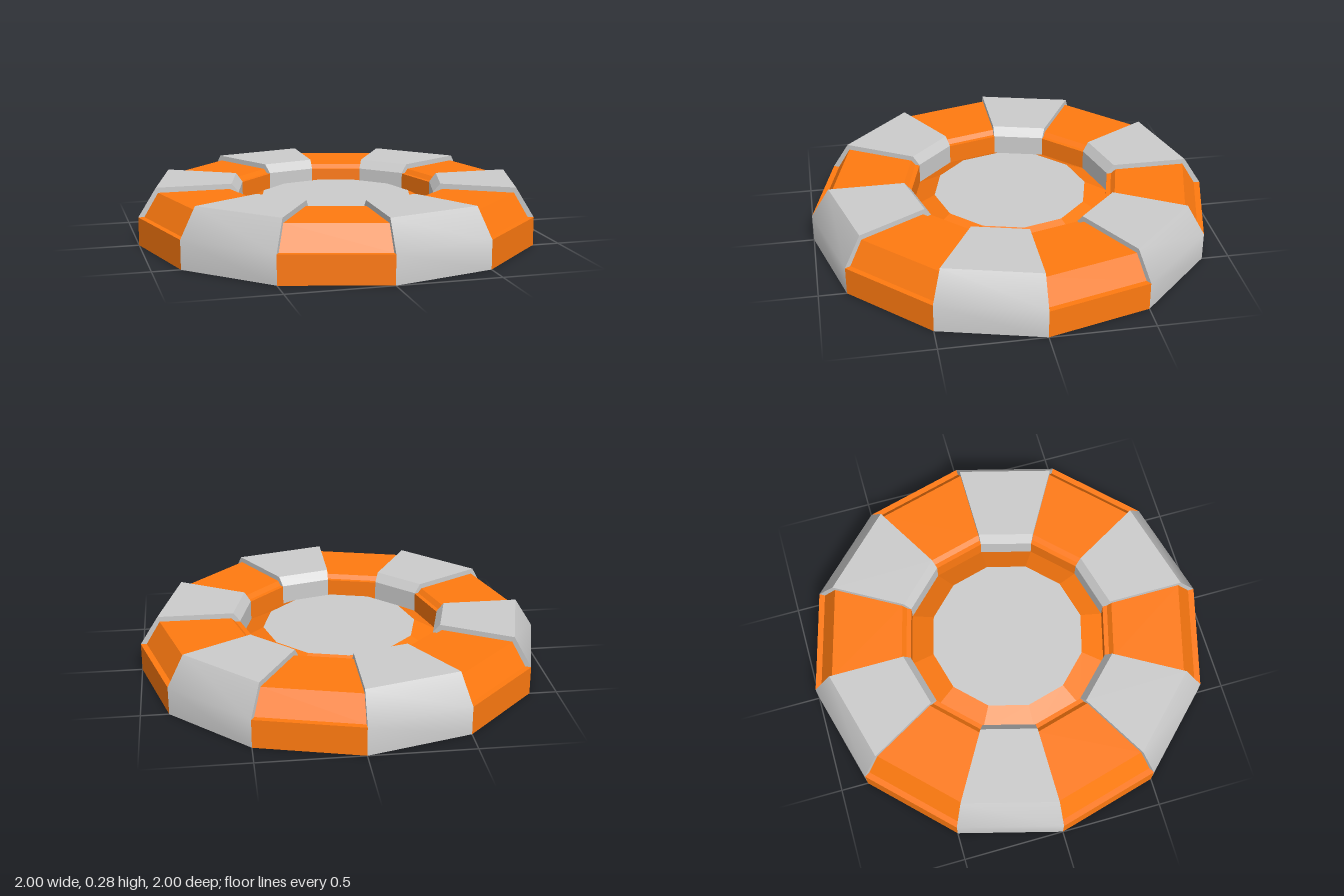
import * as THREE from 'three';
import { toCreasedNormals } from 'three/addons/utils/BufferGeometryUtils.js';

const SIDES = 12;
const STEP = (Math.PI * 2) / SIDES;

// Cross-sections as [radius, height], from the outer foot over the top to the inner foot
const RAISED = [[1, 0], [1, 0.14], [0.91, 0.283], [0.535, 0.283], [0.5, 0.24], [0.5, 0]];
const LOW = [[1, 0], [1, 0.14], [0.97, 0.14], [0.9, 0.257], [0.545, 0.257], [0.523, 0.237], [0.5, 0.237], [0.5, 0]];

// Sweeps a cross-section straight from one corner of the polygon to the next
function segmentGeometry(profile, a0, a1) {
  const pos = [];
  const at = ([r, y], a) => [r * Math.cos(a), y, r * Math.sin(a)];
  const tri = (...corners) => corners.forEach((c) => pos.push(...c));
  for (let i = 0; i < profile.length - 1; i++) {
    const a = at(profile[i], a0), b = at(profile[i + 1], a0);
    const c = at(profile[i + 1], a1), d = at(profile[i], a1);
    tri(a, b, c);
    tri(a, c, d);
  }
  // End faces
  const contour = profile.map(([r, y]) => new THREE.Vector2(r, y));
  for (const [i, j, k] of THREE.ShapeUtils.triangulateShape(contour, [])) {
    tri(at(profile[k], a0), at(profile[j], a0), at(profile[i], a0));
    tri(at(profile[i], a1), at(profile[j], a1), at(profile[k], a1));
  }
  const geo = new THREE.BufferGeometry();
  geo.setAttribute('position', new THREE.Float32BufferAttribute(pos, 3));
  // Soft bend between outer wall and bevel, sharp elsewhere
  return toCreasedNormals(geo, THREE.MathUtils.degToRad(33));
}

export function createModel() {
  const model = new THREE.Group();
  const grey = new THREE.MeshStandardMaterial({ color: 0xcccccc });
  const orange = new THREE.MeshStandardMaterial({ color: 0xff7a10 });
  const flatOrange = new THREE.MeshStandardMaterial({ color: 0xff7a10, flatShading: true });

  const add = (name, geometry, material, y = 0) => {
    const mesh = new THREE.Mesh(geometry, material);
    mesh.name = name;
    mesh.position.y = y;
    model.add(mesh);
  };

  // Alternating ring segments
  for (let k = 0; k < SIDES; k++) {
    const raised = k % 2 === 0;
    add(raised ? 'raisedSegment' : 'lowSegment',
      segmentGeometry(raised ? RAISED : LOW, k * STEP, (k + 1) * STEP),
      raised ? grey : orange);
  }

  // Sloping collar around the centre plate
  add('innerCollar', new THREE.CylinderGeometry(0.385, 0.5, 0.06, SIDES, 1, true), flatOrange, 0.17);

  // Centre plate and underside
  add('centrePlate', new THREE.CircleGeometry(0.385, SIDES).rotateX(-Math.PI / 2), grey, 0.2);
  add('underside', new THREE.CircleGeometry(1, SIDES).rotateX(Math.PI / 2), grey);

  return model;
}
